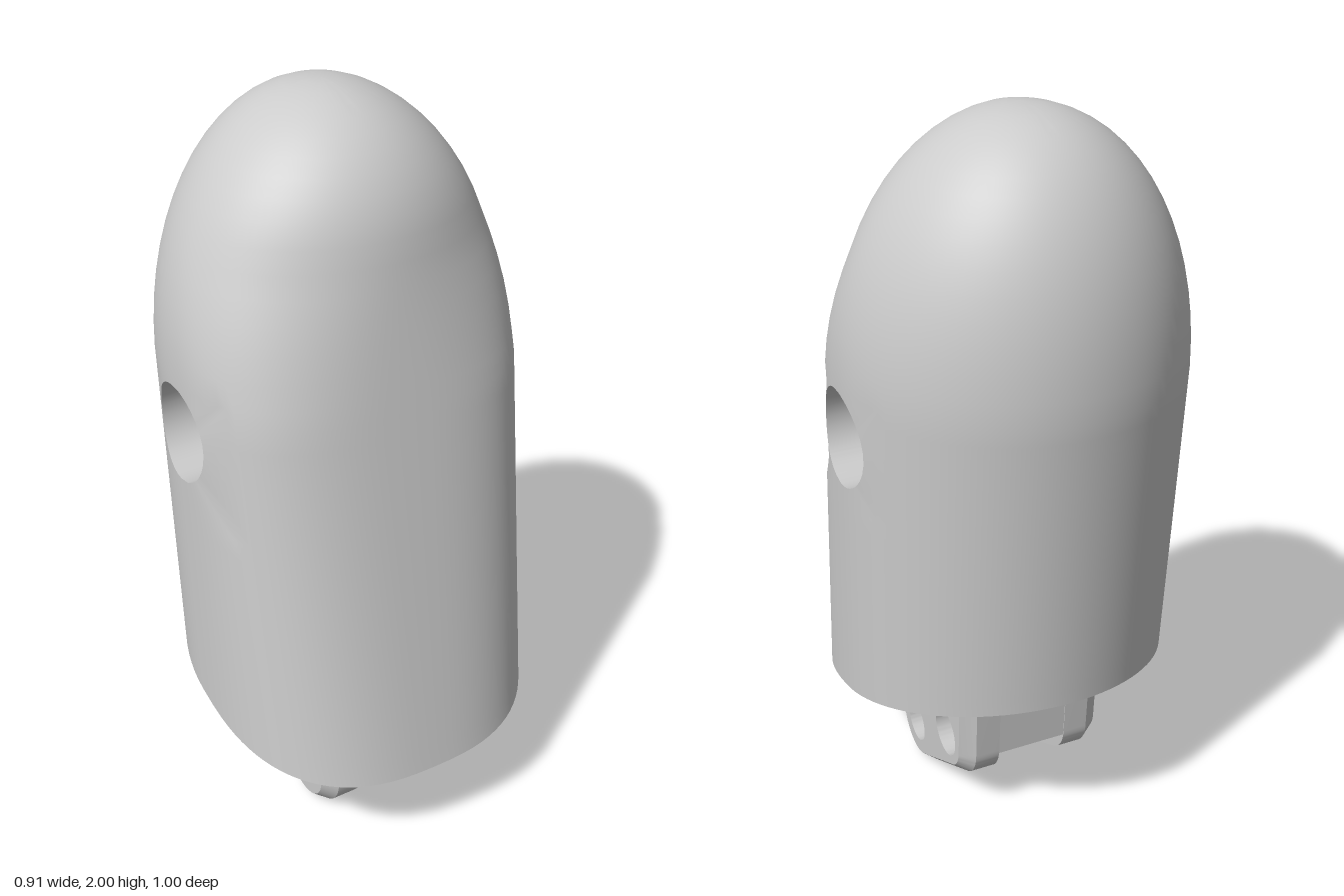
import * as THREE from 'three';
import { mergeGeometries, toCreasedNormals } from 'three/addons/utils/BufferGeometryUtils.js';

const COLS = 96, LOW = 20, HIGH = 16;
const WALL = 0.9;                       // inner skin scale
const HOLE = { z: -0.025, y: 1.2 };     // side bolt axis
const material = new THREE.MeshStandardMaterial({ color: 0xcccccc });

const spow = (v, e) => Math.sign(v) * Math.pow(Math.abs(v), e);
const dome = (t, n) => Math.pow(Math.max(0, 1 - Math.pow(Math.min(1, t), n)), 1 / n);

// Triangle helpers
function quad(pos, a, b, c, d, flip) {
  for (const p of flip ? [a, c, b, a, d, c] : [a, b, c, a, c, d]) pos.push(p.x, p.y, p.z);
}
function strip(pos, A, B, flip) {
  A.forEach((_, i) => {
    const n = (i + 1) % A.length;
    quad(pos, A[i], B[i], B[n], A[n], flip);
  });
}
function toGeometry(pos) {
  const g = new THREE.BufferGeometry();
  g.setAttribute('position', new THREE.Float32BufferAttribute(pos, 3));
  return g;
}

// Horizontal section at height y: a round back half and a squarer front half
function section(y) {
  const front = y < 1.68 ? 0.5 - 0.183 * (y - 0.3) : -0.1 + 0.352 * dome((y - 1.62) / 0.38, 2);
  const back = y < 1.35 ? -0.435 - 0.0756 * (y - 0.53) : -0.1 - 0.397 * dome((y - 1.35) / 0.65, 2.3);
  const w = 0.455 * dome(Math.max(0, y - 1.35) / 0.65, 2);
  const c = back + w;
  const n = y < 1.3 ? 2.6 + 0.25 * (y - 0.3) : Math.max(2, 2.85 - 2.5 * (y - 1.3));
  return { c, w, frontDepth: front - c, backDepth: w, n };
}

function bodyPoint(i, j, k) {
  const a = (i / COLS) * Math.PI * 2;
  const at = (y) => {
    const s = section(y), ahead = Math.sin(a) > 0;
    const e = ahead ? 2 / s.n : 1, depth = ahead ? s.frontDepth : s.backDepth;
    return [s.w * k * spow(Math.cos(a), e), s.c + depth * k * spow(Math.sin(a), e)];
  };
  // slanted lower rim
  let rim = 0.4;
  for (let n = 0; n < 6; n++) rim = 0.298 + (0.5 - at(rim)[1]) * 0.247;
  const y = j <= LOW ? rim + (1.35 - rim) * j / LOW
    : 1.35 + 0.65 * Math.sin((j - LOW) / HIGH * Math.PI / 2);
  const [x, z] = at(y);
  return new THREE.Vector3(x, y - (1 - k) * 0.5 * Math.max(0, (y - 1.35) / 0.65), z);
}

// Width of the body skin at a point on its side
function sideX(z, y, k) {
  const s = section(y), d = z - s.c;
  return s.w * k * (d > 0 ? dome(d / (s.frontDepth * k), s.n) : dome(-d / (s.backDepth * k), 2));
}

function createShell() {
  const pos = [];
  const j0 = 13, j1 = LOW;
  const windows = [{ s: 1, i0: -6, i1: 8 }, { s: -1, i0: COLS / 2 - 8, i1: COLS / 2 + 6 }];

  function skin(k, flip, radius, steps) {
    const grid = [];
    for (let j = 0; j <= LOW + HIGH; j++) {
      grid.push(Array.from({ length: COLS }, (_, i) => bodyPoint(i, j, k)));
    }
    const at = (i, j) => grid[j][(i + COLS) % COLS];
    const open = (i, j) => j >= j0 && j < j1 && windows.some(({ i0, i1 }) =>
      (i >= i0 && i < i1) || (i - COLS >= i0 && i - COLS < i1));
    for (let j = 0; j < LOW + HIGH; j++) for (let i = 0; i < COLS; i++) {
      if (!open(i, j)) quad(pos, at(i, j), at(i, j + 1), at(i + 1, j + 1), at(i + 1, j), flip);
    }
    // round bolt hole with its stepped bore or boss
    for (const { s, i0, i1 } of windows) {
      const edge = [];
      for (let i = i0; i < i1; i++) edge.push(at(i, j0));
      for (let j = j0; j < j1; j++) edge.push(at(i1, j));
      for (let i = i1; i > i0; i--) edge.push(at(i, j1));
      for (let j = j1; j > j0; j--) edge.push(at(i0, j));
      const ring = (r, x) => edge.map((p) => {
        const a = Math.atan2(p.y - HOLE.y, p.z - HOLE.z);
        const z = HOLE.z + r * Math.cos(a), y = HOLE.y + r * Math.sin(a);
        return new THREE.Vector3(s * (x ?? sideX(z, y, k)), y, z);
      });
      let last = edge;
      for (const [r, x] of [[radius], ...steps]) {
        const next = ring(r, x);
        strip(pos, last, next, flip);
        last = next;
      }
    }
    return grid[0];
  }

  const outerRim = skin(1, false, 0.13, [[0.13, 0.33], [0.06, 0.33], [0.06, 0.2]]);
  const innerRim = skin(WALL, true, 0.15, [[0.15, 0.2], [0.06, 0.2]]);
  strip(pos, outerRim, innerRim, true);
  return toCreasedNormals(toGeometry(pos), 0.6);
}

// Corner circles of the bracket arm: z, y, radius
const CORNERS = [[0.15, 0.13, 0.13], [-0.085, 0.245, 0.115], [-0.165, 1.25, 0.1], [-0.02, 1.25, 0.12]];
const ARM_HOLES = [[0.15, 0.13, 0.06], [-0.075, 0.25, 0.07], [HOLE.z, HOLE.y, 0.06]];

const circlePath = (u, y, r) => new THREE.Path().absarc(u, y, r, 0, Math.PI * 2, true);

// Outline wrapped around the corner circles; s mirrors it for the other arm
function armOutline(s, inset) {
  const cs = CORNERS.map(([z, y, r]) => [-s * z, y, r - inset]);
  if (s < 0) cs.reverse();
  const tangent = cs.map(([u, y, r], i) => {
    const [u2, y2, r2] = cs[(i + 1) % 4];
    return Math.atan2(y2 - y, u2 - u) - Math.acos((r - r2) / Math.hypot(u2 - u, y2 - y));
  });
  const pts = [];
  cs.forEach(([u, y, r], i) => {
    const a = tangent[(i + 3) % 4];
    let sweep = (tangent[i] - a) % (Math.PI * 2);
    if (sweep < 0) sweep += Math.PI * 2;
    for (let n = 0; n <= 12; n++) {
      const t = a + sweep * n / 12;
      pts.push(new THREE.Vector2(u + r * Math.cos(t), y + r * Math.sin(t)));
    }
  });
  return pts;
}

function createArm(s) {
  const wide = armOutline(s, 0), narrow = armOutline(s, 0.03);
  const plate = (outline, from, to) => {
    const shape = new THREE.Shape(outline);
    for (const [z, y, r] of ARM_HOLES) shape.holes.push(circlePath(-s * z, y, r));
    const g = new THREE.ExtrudeGeometry(shape, { depth: to - from, bevelEnabled: false, curveSegments: 32 });
    g.deleteAttribute('uv');
    g.deleteAttribute('normal');
    return g.translate(0, 0, from);
  };
  // chamfer between the wide inner and narrow outer plates
  const chamfer = [];
  const lift = (outline, d) => outline.map((p) => new THREE.Vector3(p.x, p.y, d));
  strip(chamfer, lift(wide, 0.17), lift(narrow, 0.21), true);
  const g = mergeGeometries([plate(wide, 0.1, 0.17), plate(narrow, 0.17, 0.21), toGeometry(chamfer)]);
  g.rotateY(s * Math.PI / 2);
  return toCreasedNormals(g, 0.5);
}

// Web joining the arms, notched round the rear cross hole
function createBridge() {
  const [z, y, r] = ARM_HOLES[1];
  const a = Math.asin((0.235 - y) / r);
  const shape = new THREE.Shape();
  shape.moveTo(-0.24, 0.25);
  shape.absarc(-z, y, r, Math.PI - a, a, true);
  shape.lineTo(0.197, 0.225);
  shape.lineTo(0.26, 1.28);
  shape.lineTo(-0.08, 1.28);
  shape.closePath();
  shape.holes.push(circlePath(-HOLE.z, HOLE.y, 0.06));
  const g = new THREE.ExtrudeGeometry(shape, { depth: 0.2, bevelEnabled: false, curveSegments: 32 });
  g.rotateY(Math.PI / 2);
  g.translate(-0.1, 0, 0);
  return toCreasedNormals(g, 0.5);
}

export function createModel() {
  const model = new THREE.Group();
  model.name = 'fingertip';
  const add = (name, geometry, parent) => {
    const mesh = new THREE.Mesh(geometry, material);
    mesh.name = name;
    parent.add(mesh);
  };
  add('shell', createShell(), model);
  const bracket = new THREE.Group();
  bracket.name = 'hingeBracket';
  add('leftArm', createArm(1), bracket);
  add('rightArm', createArm(-1), bracket);
  add('bridge', createBridge(), bracket);
  model.add(bracket);
  return model;
}
